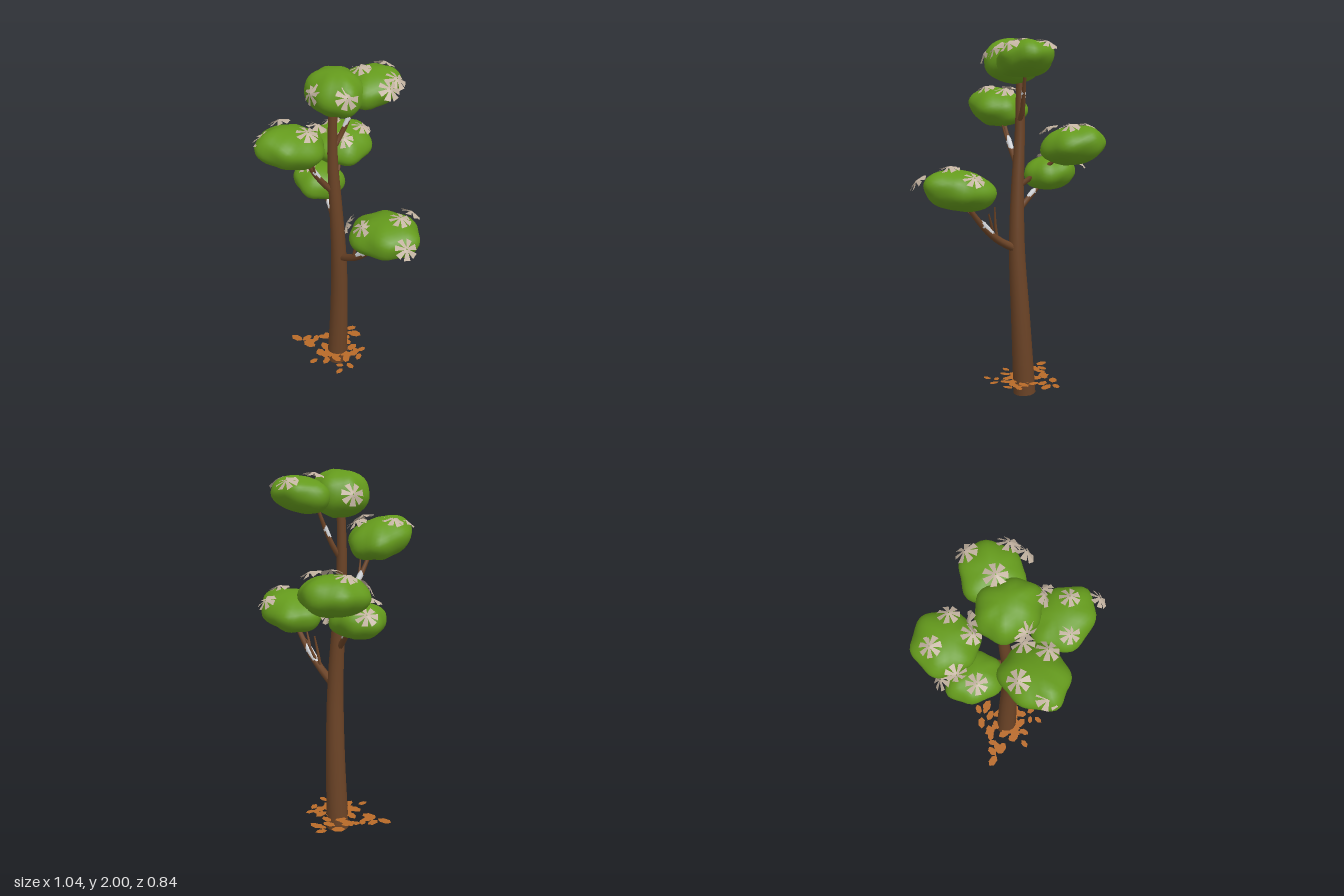
import * as THREE from 'three';
import { mergeVertices, mergeGeometries } from 'three/addons/utils/BufferGeometryUtils.js';

const V = (p) => new THREE.Vector3(...p);
const paint = (name, color, side = THREE.FrontSide) => {
  const m = new THREE.MeshStandardMaterial({ color, side });
  m.name = name;
  return m;
};

// Tube along a curve whose radius follows a list of evenly spaced values
function taperTube(points, radii, rings, sides) {
  const curve = new THREE.CatmullRomCurve3(points.map(V));
  const geo = new THREE.TubeGeometry(curve, rings, 1, sides);
  const pos = geo.attributes.position;
  const v = new THREE.Vector3();
  for (let i = 0; i <= rings; i++) {
    const c = curve.getPointAt(i / rings);
    const f = (i / rings) * (radii.length - 1);
    const k = Math.min(Math.floor(f), radii.length - 2);
    const r = THREE.MathUtils.lerp(radii[k], radii[k + 1], f - k);
    for (let j = 0; j <= sides; j++) {
      const n = i * (sides + 1) + j;
      v.fromBufferAttribute(pos, n).sub(c).multiplyScalar(r).add(c);
      pos.setXYZ(n, v.x, v.y, v.z);
    }
  }
  return geo;
}

// Smooth, softly lobed foliage clump
function clumpGeometry(half, seed) {
  let geo = new THREE.IcosahedronGeometry(1, 6);
  geo.deleteAttribute('uv');
  geo.deleteAttribute('normal');
  geo = mergeVertices(geo, 1e-4);
  const pos = geo.attributes.position;
  const v = new THREE.Vector3();
  for (let i = 0; i < pos.count; i++) {
    v.fromBufferAttribute(pos, i);
    const a = Math.atan2(v.z, v.x);
    const rim = Math.hypot(v.x, v.z);
    const lobes = 0.045 * Math.sin(6 * a + seed) + 0.03 * Math.sin(3 * a + seed * 2.3);
    const bumps = 0.02 * Math.sin(5 * v.y + 4 * v.x + seed);
    v.multiplyScalar(1 + rim * lobes + bumps);
    pos.setXYZ(i, v.x * half[0], v.y * half[1], v.z * half[2]);
  }
  geo.computeVertexNormals();
  return geo;
}

// Seven flat wedge petals drooping from a shared centre
function blossomGeometry() {
  const petals = [];
  for (let i = 0; i < 7; i++) {
    const g = new THREE.PlaneGeometry(1, 1, 1, 1);
    const p = g.attributes.position;
    for (let k = 0; k < 4; k++) {
      const side = Math.sign(p.getX(k));
      const outer = p.getY(k) > 0;
      p.setXYZ(k, side * (outer ? 0.016 : 0.004), outer ? -0.012 + side * 0.004 : 0.006, outer ? 0.056 : 0.003);
    }
    g.rotateY((i / 7) * Math.PI * 2);
    g.computeVertexNormals();
    petals.push(g);
  }
  return mergeGeometries(petals);
}

export function createModel() {
  const model = new THREE.Group();
  model.name = 'tree';
  const bark = paint('bark brown', 0x6b4326);
  const foliage = paint('foliage green', 0x649a1c);
  const petal = paint('blossom beige', 0xc2b2a0, THREE.DoubleSide);
  const pale = paint('pale lichen', 0xd6d8dc);
  const litter = paint('fallen leaf orange', 0xb86a28, THREE.DoubleSide);
  const add = (name, geo, mat, parent = model) => {
    const mesh = new THREE.Mesh(geo, mat);
    mesh.name = name;
    parent.add(mesh);
    return mesh;
  };

  // Gently bent trunk with a closed base
  add('trunk', taperTube(
    [[-0.155, 0.005, -0.063], [-0.128, 0.45, -0.06], [-0.11, 0.85, -0.047], [-0.12, 1.2, -0.035], [-0.137, 1.5, -0.029], [-0.135, 1.82, -0.034]],
    [0.064, 0.056, 0.048, 0.039, 0.029, 0.022], 30, 14), bark);
  const base = add('trunkBase', new THREE.CircleGeometry(0.064, 14), bark);
  base.rotation.x = Math.PI / 2;
  base.position.set(-0.155, 0.004, -0.063);

  // Branches, each with a pale lichen spindle lying along its upper side
  const branches = [
    { path: [[-0.1, 0.85, -0.05], [0.02, 0.915, -0.05], [0.12, 1.0, -0.06], [0.23, 1.13, -0.07]], r: 0.023, lichen: true },
    { path: [[-0.135, 1.28, -0.03], [-0.138, 1.34, 0.02], [-0.14, 1.43, 0.085], [-0.145, 1.57, 0.16]], r: 0.018, lichen: true },
    { path: [[-0.13, 1.55, -0.03], [-0.125, 1.61, -0.07], [-0.11, 1.69, -0.105], [-0.09, 1.82, -0.15]], r: 0.015, lichen: true },
    { path: [[-0.12, 1.06, -0.04], [-0.165, 1.11, -0.045], [-0.21, 1.16, -0.055], [-0.28, 1.23, -0.06]], r: 0.018, lichen: true },
    { path: [[-0.125, 1.2, -0.04], [-0.18, 1.25, -0.08], [-0.24, 1.31, -0.14], [-0.31, 1.4, -0.21]], r: 0.016, lichen: false },
    // small side twigs
    { path: [[0.02, 0.92, -0.05], [0.035, 0.99, -0.055], [0.05, 1.1, -0.07]], r: 0.009 },
    { path: [[0.05, 0.94, -0.05], [0.07, 1.0, -0.07], [0.1, 1.07, -0.09]], r: 0.009 },
    { path: [[0.1, 0.98, -0.06], [0.14, 1.03, -0.04], [0.19, 1.08, -0.02]], r: 0.009 },
    { path: [[-0.14, 1.41, 0.075], [-0.125, 1.47, 0.1], [-0.11, 1.55, 0.12]], r: 0.007 },
  ];
  branches.forEach(({ path, r, lichen }) => {
    add(lichen === undefined ? 'twig' : 'branch', taperTube(path, [r, r * 0.85, r * 0.5], 12, 8), bark);
    if (!lichen) return;
    const curve = new THREE.CatmullRomCurve3(path.map(V));
    const spine = [0.28, 0.45, 0.6, 0.76].map((t) => {
      const p = curve.getPointAt(t);
      return [p.x, p.y + r * 0.32, p.z];
    });
    add('lichen', taperTube(spine, [0.001, r * 0.85, r * 0.9, 0.001], 12, 8), pale);
  });

  // Foliage clumps: centre, half sizes, tilt about x and z, and blossom positions
  const clumps = [
    { c: [-0.1, 1.88, -0.025], h: [0.165, 0.12, 0.14], t: [0, 0],
      f: [[-0.11, 1.9, 0.11], [0.05, 1.91, 0.02], [-0.27, 1.89, -0.07]] },
    { c: [-0.055, 1.88, -0.21], h: [0.15, 0.09, 0.155], t: [0.22, 0],
      f: [[-0.07, 1.975, -0.155], [0.115, 1.92, -0.19], [0.08, 1.94, -0.26], [-0.1, 1.95, -0.335]] },
    { c: [-0.145, 1.635, 0.225], h: [0.155, 0.105, 0.185], t: [-0.25, 0],
      f: [[-0.24, 1.735, 0.225], [-0.045, 1.735, 0.19], [-0.18, 1.71, 0.365], [-0.11, 1.72, 0.09]] },
    { c: [-0.345, 1.43, -0.245], h: [0.175, 0.105, 0.17], t: [0.1, -0.1],
      f: [[-0.4, 1.45, -0.075], [-0.43, 1.53, -0.235], [-0.26, 1.53, -0.32], [-0.23, 1.515, -0.17]] },
    { c: [-0.315, 1.27, -0.06], h: [0.155, 0.095, 0.135], t: [0, -0.12],
      f: [[-0.34, 1.365, 0.005], [-0.46, 1.33, -0.13]] },
    { c: [0.265, 1.2, -0.068], h: [0.2, 0.108, 0.172], t: [0, 0.17],
      f: [[0.27, 1.27, -0.235], [0.34, 1.32, -0.1], [0.225, 1.27, 0.05], [0.48, 1.25, -0.02], [0.07, 1.2, 0.02]] },
  ];
  const blossom = blossomGeometry();
  const up = new THREE.Vector3(0, 1, 0);
  clumps.forEach(({ c, h, t, f }, i) => {
    const leaves = add('foliageClump', clumpGeometry(h, i * 1.7 + 0.6), foliage);
    leaves.position.set(...c);
    leaves.rotation.set(t[0], 0, t[1]);
    f.forEach((p, k) => {
      // each blossom faces outward from the clump
      const n = V(p).sub(leaves.position);
      n.set(n.x / h[0] ** 2, n.y / h[1] ** 2, n.z / h[2] ** 2).normalize();
      n.y += 0.25;
      const mesh = add('blossom', blossom, petal);
      mesh.quaternion.setFromUnitVectors(up, n.normalize());
      mesh.rotateY(k * 0.8 + i);
      mesh.position.copy(V(p)).addScaledVector(n, 0.008);
    });
  });

  // Ring of fallen leaves around the foot of the trunk
  let s = 11;
  const rand = () => (s = (s * 16807) % 2147483647) / 2147483647;
  const outline = [[-0.042, 0], [-0.02, 0.022], [0.018, 0.024], [0.042, 0.004], [0.02, -0.02], [-0.022, -0.022]];
  const leafShape = new THREE.ShapeGeometry(new THREE.Shape(outline.map(([x, y]) => new THREE.Vector2(x, y))));
  leafShape.rotateX(-Math.PI / 2);
  const fallen = new THREE.Group();
  fallen.name = 'fallenLeaves';
  model.add(fallen);
  const scatter = [[-0.38, 0.095], [-0.285, 0.065]];
  for (let i = 0; i < 44; i++) {
    const a = i * 2.4 + rand() * 0.5;
    const d = 0.05 + 0.17 * Math.pow(rand(), 1.3);
    scatter.push([-0.15 + Math.cos(a) * d, -0.05 + Math.sin(a) * d]);
  }
  scatter.forEach(([x, z], i) => {
    const leaf = add('fallenLeaf', leafShape, litter, fallen);
    leaf.position.set(x, 0.08 + rand() * 0.007, z);
    leaf.rotation.y = i < 2 ? 0.3 : rand() * 6.28;
    leaf.scale.setScalar(i < 2 ? 1 : 0.6 + rand() * 0.35);
  });
  return model;
}
